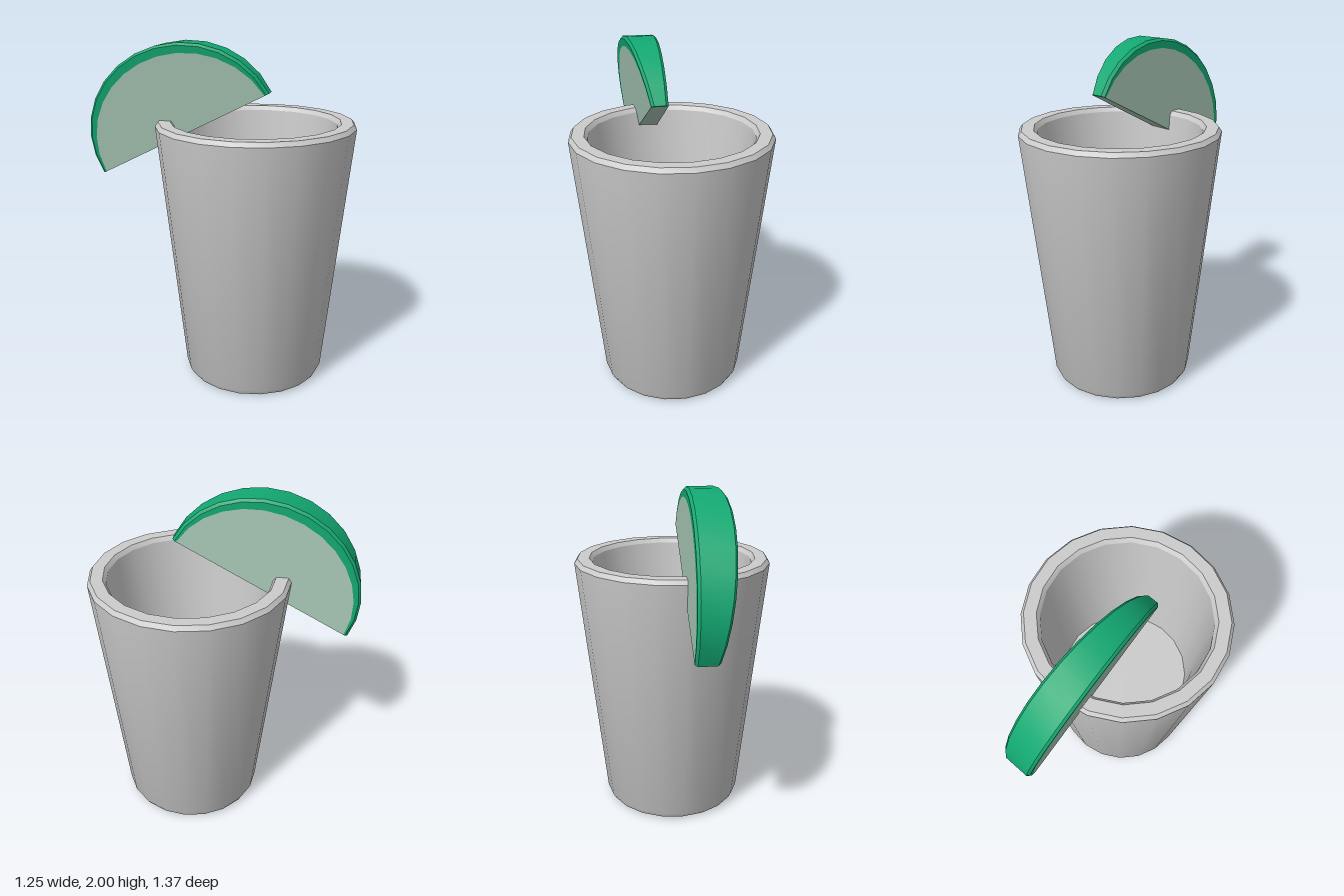
import * as THREE from 'three';
import { toCreasedNormals } from 'three/addons/utils/BufferGeometryUtils.js';

const R = 0.57, DEPTH = 0.52, STEPS = 14;

// Joins cross-sections (arrays of [x, y, z]) into a skin, with optional end caps.
function skin(rows, closed) {
  const n = rows[0].length, last = (rows.length - 1) * n, index = [];
  for (let i = 0; i < rows.length - 1; i++) {
    for (let j = 0; j < (closed ? n : n - 1); j++) {
      const a = i * n + j, b = i * n + (j + 1) % n;
      index.push(a, b, a + n, b, b + n, a + n);
    }
  }
  if (closed) {
    for (let k = 1; k < n - 1; k++) index.push(0, k + 1, k, last, last + k, last + k + 1);
  }
  const geometry = new THREE.BufferGeometry();
  geometry.setAttribute('position', new THREE.Float32BufferAttribute(rows.flat(2), 3));
  geometry.setIndex(index);
  return toCreasedNormals(geometry, 0.6);
}

// Point on one face of the wedge; the faces spread apart away from the chord.
function wedgePoint(r, t, side, inset = 0) {
  const a = r * Math.cos(t), h = r * DEPTH / R * Math.sin(t);
  const z = side > 0 ? 0.045 + 0.18 * h - inset : -0.068 + 0.035 * a + inset;
  return [a, h, z];
}

function createGlass() {
  const profile = [
    [0, 0], [0.385, 0], [0.405, 0.01], [0.421, 0.04], // base
    [0.575, 1.53], [0.557, 1.555], [0.488, 1.555], [0.47, 1.53], // rim
    [0.39, 0.7], [0, 0.7], // thick inner floor
  ].map(([x, y]) => new THREE.Vector2(x, y));
  const geometry = toCreasedNormals(new THREE.LatheGeometry(profile, 20), 0.5);
  const glass = new THREE.Mesh(geometry, new THREE.MeshStandardMaterial({ color: 0xcccccc }));
  glass.name = 'glass';
  glass.position.set(0.03, 0, 0.09);
  return glass;
}

function createWedge() {
  const rindRows = [], fleshRows = [];
  for (let i = 0; i <= STEPS; i++) {
    const t = Math.PI * i / STEPS;
    const inner = R - 0.025 - 0.04 * Math.sin(t);
    // Rind: a band with bevelled edges that folds onto both faces
    rindRows.push([
      wedgePoint(inner, t, 1), wedgePoint(R - 0.015, t, 1), wedgePoint(R, t, 1, 0.015),
      wedgePoint(R, t, -1, 0.015), wedgePoint(R - 0.015, t, -1), wedgePoint(inner, t, -1),
    ]);
    // Flesh: both cut faces and the straight edge between them
    const chord = inner * Math.cos(t);
    fleshRows.push([
      wedgePoint(inner, t, -1), wedgePoint(chord, 0, -1),
      wedgePoint(chord, 0, 1), wedgePoint(inner, t, 1),
    ]);
  }

  const wedge = new THREE.Group();
  wedge.name = 'limeWedge';
  const rind = new THREE.Mesh(skin(rindRows, true), new THREE.MeshStandardMaterial({ color: 0x13a872 }));
  rind.name = 'rind';
  const flesh = new THREE.Mesh(skin(fleshRows, false), new THREE.MeshStandardMaterial({ color: 0xa8c8b6 }));
  flesh.name = 'flesh';
  wedge.add(rind, flesh);

  // Chord slopes down and back over the rim
  const along = new THREE.Vector3(0.57, 0.52, 0.84).normalize();
  const face = new THREE.Vector3(-0.84, 0, 0.57).normalize();
  const up = new THREE.Vector3().crossVectors(face, along);
  wedge.quaternion.setFromRotationMatrix(new THREE.Matrix4().makeBasis(along, up, face));
  wedge.position.set(-0.265, 1.47, -0.2);
  return wedge;
}

export function createModel() {
  const model = new THREE.Group();
  model.name = 'glassWithLimeWedge';
  model.add(createGlass(), createWedge());
  return model;
}
